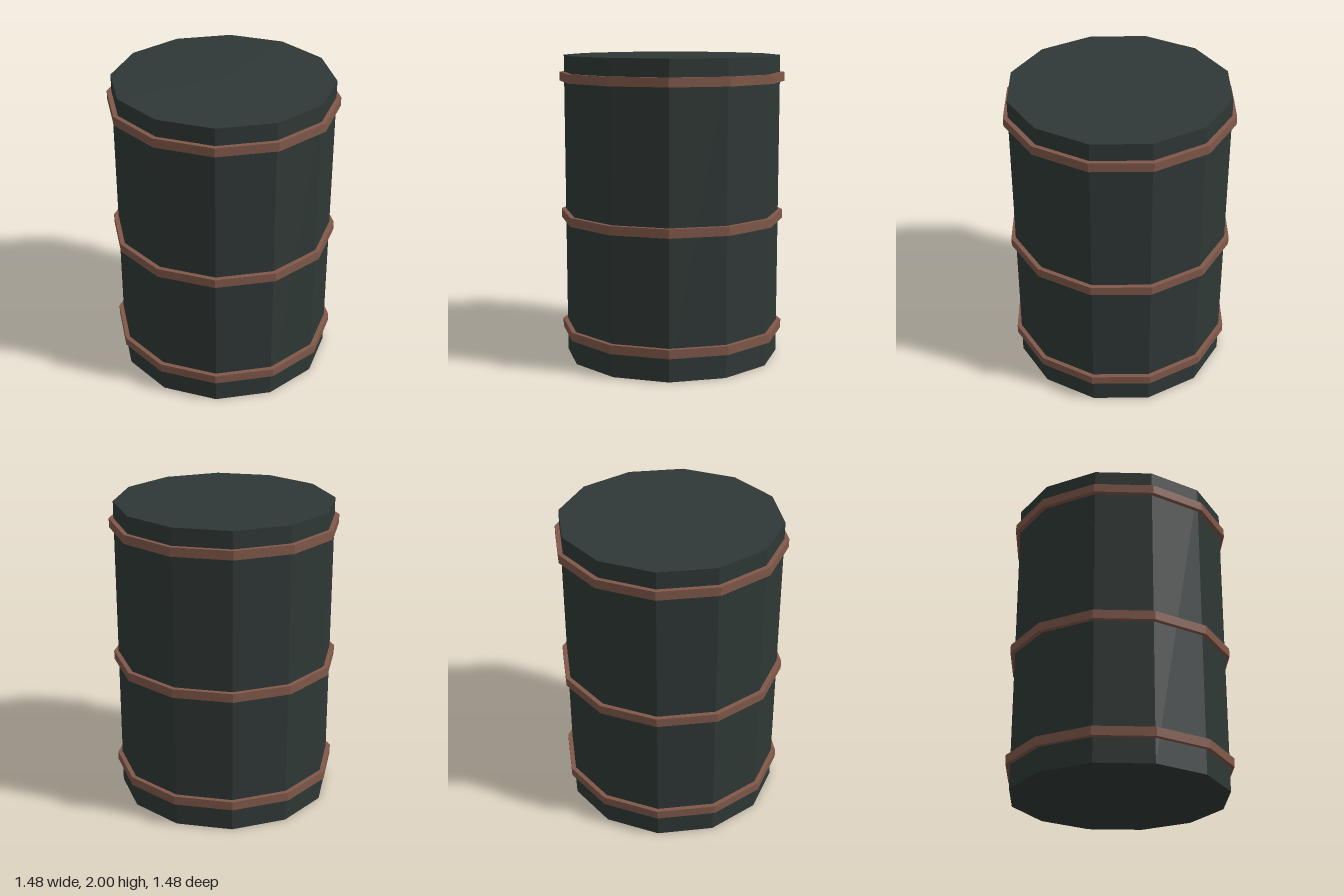
import * as THREE from 'three';

const SIDES = 12;

export function createModel() {
  const model = new THREE.Group();
  model.name = 'barrel';

  const bodyPaint = new THREE.MeshStandardMaterial({ color: 0x2f3836, flatShading: true });
  bodyPaint.name = 'dark green grey';
  const bandPaint = new THREE.MeshStandardMaterial({ color: 0x80584a, flatShading: true });
  bandPaint.name = 'rust brown';

  // Twelve-sided cylinder standing at a given centre height
  function addDrum(name, radius, height, y, material) {
    const mesh = new THREE.Mesh(new THREE.CylinderGeometry(radius, radius, height, SIDES), material);
    mesh.name = name;
    mesh.position.y = y;
    model.add(mesh);
  }

  // Closed drum body
  addDrum('body', 0.71, 2, 1, bodyPaint);

  // Raised bands around the body
  const bands = { lowerBand: 0.188, middleBand: 0.947, upperBand: 1.86 };
  for (const [name, y] of Object.entries(bands)) addDrum(name, 0.74, 0.058, y, bandPaint);

  return model;
}
